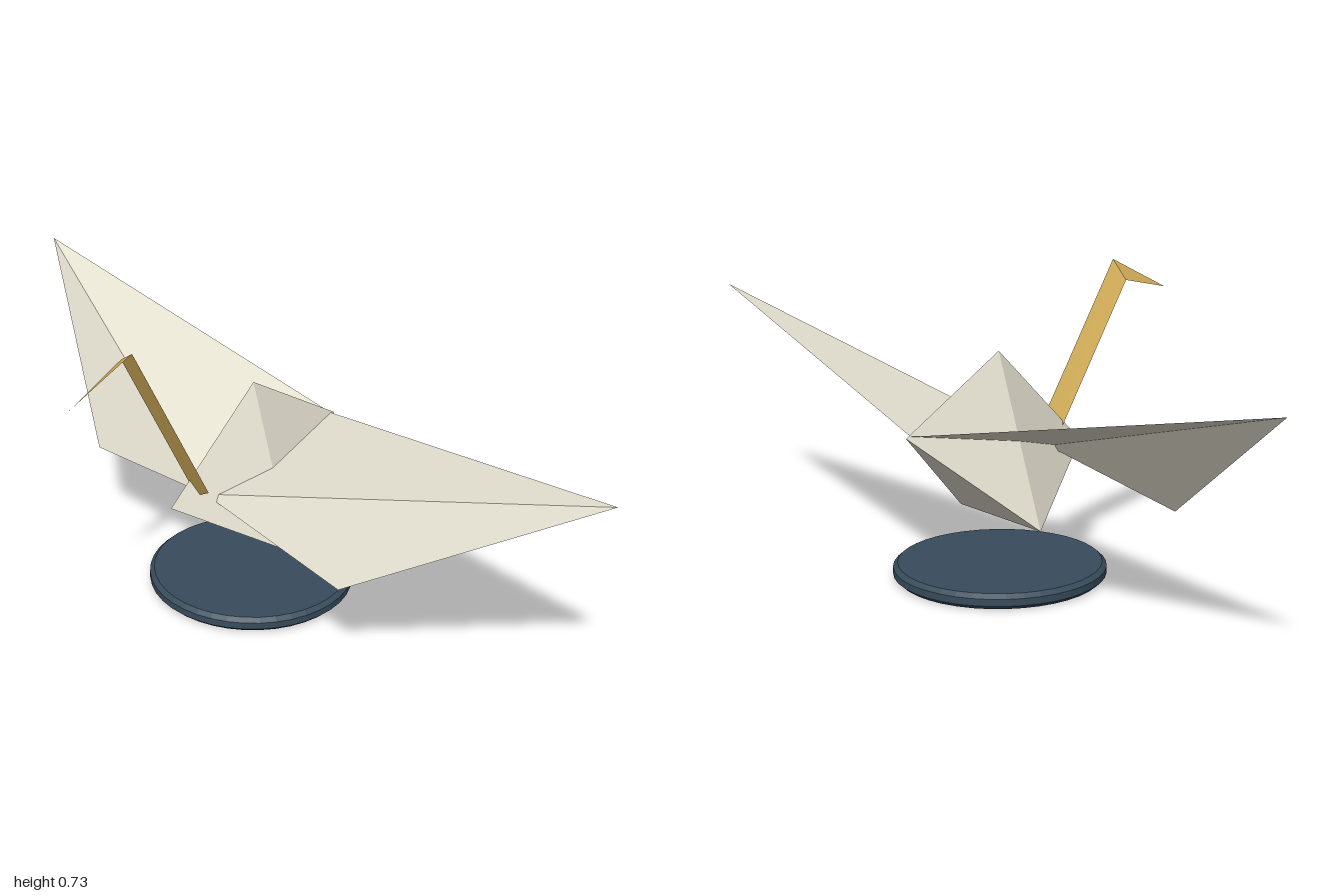
import * as THREE from 'three';

const paper = new THREE.MeshStandardMaterial({ color: 0xe6e2d2, side: THREE.DoubleSide, flatShading: true });
paper.name = 'ivory paper';
const gold = new THREE.MeshStandardMaterial({ color: 0xd8b25c, side: THREE.DoubleSide, flatShading: true });
gold.name = 'gold paper';
const slate = new THREE.MeshStandardMaterial({ color: 0x384c5c, flatShading: true });
slate.name = 'slate blue';

// Folded sheet: each face is a list of three corner points
function folded(name, faces, material) {
  const geometry = new THREE.BufferGeometry();
  geometry.setAttribute('position', new THREE.Float32BufferAttribute(faces.flat(2), 3));
  geometry.computeVertexNormals();
  const mesh = new THREE.Mesh(geometry, material);
  mesh.name = name;
  return mesh;
}

export function createModel() {
  const model = new THREE.Group();
  model.name = 'foldedPaperBird';

  // Body: triangular middle section tapering to a front and a back point
  const section = [[0, 0.55, -0.135], [-0.15, 0.143, -0.135], [0.15, 0.143, -0.135]];
  const front = [0, 0.293, 0.122];
  const back = [0, 0.383, -0.408];
  const bodyFaces = [];
  section.forEach((a, i) => {
    const b = section[(i + 1) % 3];
    bodyFaces.push([a, b, front], [b, a, back]);
  });
  model.add(folded('body', bodyFaces, paper));

  // Wings: two facets meeting at a crease from the shoulder to the tip
  for (const s of [-1, 1]) {
    const tip = [s, 0.595, -0.257];
    const shoulder = [0, 0.295, 0.016];
    const rear = [0, 0.386, -0.395];
    const corner = [s * 0.455, 0.235, 0];
    let faces = [[shoulder, tip, rear], [shoulder, corner, tip]];
    if (s < 0) faces = faces.map((f) => [f[0], f[2], f[1]]);
    model.add(folded(s > 0 ? 'leftWing' : 'rightWing', faces, paper));
  }

  // Neck: flat slanted strip
  const crown = [0, 0.73, 0.228];
  const cheek = [-0.065, 0.688, 0.211];
  const neckLeft = [0.068, 0.343, 0.061];
  const neckRight = [0, 0.301, 0.043];
  model.add(folded('neck', [[crown, cheek, neckRight], [crown, neckRight, neckLeft]], gold));

  // Head: single folded-down triangle ending in the beak
  model.add(folded('head', [[crown, cheek, [0, 0.643, 0.406]]], gold));

  // Round stand with bevelled rim
  const profile = [[0, 0], [0.246, 0], [0.257, 0.01], [0.257, 0.027], [0.246, 0.037], [0, 0.037]];
  const stand = new THREE.Mesh(
    new THREE.LatheGeometry(profile.map(([r, y]) => new THREE.Vector2(r, y)), 40), slate);
  stand.name = 'stand';
  stand.position.z = -0.135;
  model.add(stand);

  return model;
}
